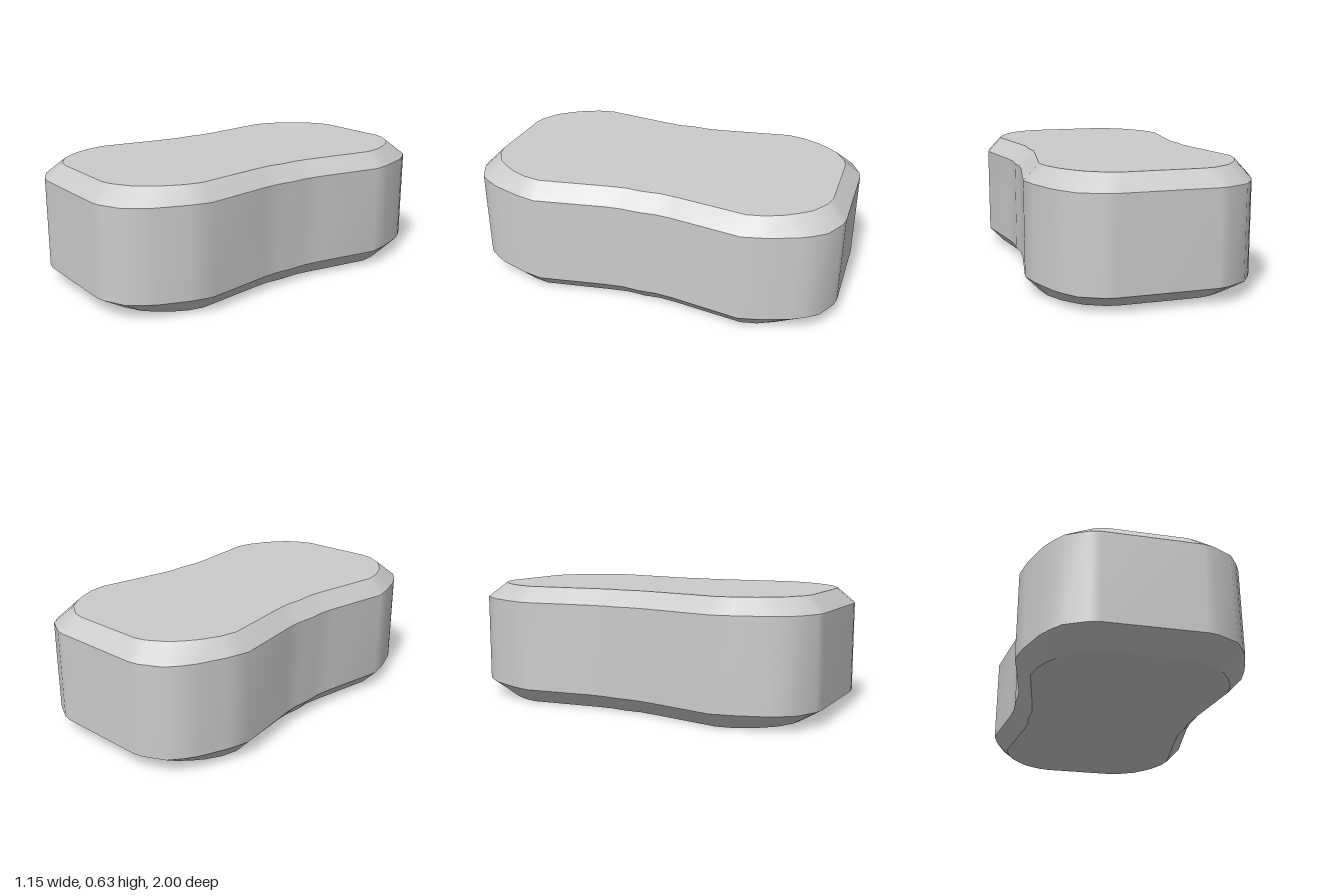
import * as THREE from 'three';

// One quarter of the outline, from the front edge round to the waist: [x, z]
const outerQuarter = [[0.25, 1], [0.30, 0.99], [0.41, 0.935], [0.46, 0.87], [0.495, 0.81], [0.55, 0.66],
  [0.575, 0.55], [0.515, 0.18], [0.507, 0.09], [0.513, 0]];
const topQuarter = [[0.20, 0.92], [0.26, 0.905], [0.35, 0.85], [0.40, 0.79], [0.44, 0.73], [0.48, 0.64],
  [0.497, 0.55], [0.44, 0.18], [0.43, 0.09], [0.437, 0]];
const bottomQuarter = topQuarter.map(([x, z]) => [x, z * (z > 0.55 ? 1 - 0.05 * (z - 0.55) / 0.37 : 1)]);

// Mirror a quarter into a closed loop, anticlockwise seen from above
function ring(quarter, y) {
  const back = quarter.slice(0, -1).reverse().map(([x, z]) => [x, -z]);
  const half = [...quarter, ...back];
  return [...half, ...half.map(([x, z]) => [-x, -z])].map(([x, z]) => [x, y, z]);
}

function build(points, index) {
  const geometry = new THREE.BufferGeometry();
  geometry.setAttribute('position', new THREE.Float32BufferAttribute(points.flat(), 3));
  geometry.setIndex(index);
  geometry.computeVertexNormals();
  return geometry;
}

// Smooth strip joining two loops
function band(low, high) {
  const n = low.length, index = [];
  for (let i = 0; i < n; i++) {
    const j = (i + 1) % n;
    index.push(i, j, n + j, i, n + j, n + i);
  }
  return build([...low, ...high], index);
}

// Flat face closing a loop
function cap(loop, up) {
  const n = loop.length, index = [];
  for (let i = 0; i < n; i++) {
    const j = (i + 1) % n;
    index.push(n, ...(up ? [i, j] : [j, i]));
  }
  return build([...loop, [0, loop[0][1], 0]], index);
}

export function createModel() {
  const model = new THREE.Group();
  model.name = 'waistedBlock';
  const material = new THREE.MeshStandardMaterial({ color: 0xcccccc });
  const add = (name, geometry) => {
    const mesh = new THREE.Mesh(geometry, material);
    mesh.name = name;
    model.add(mesh);
  };

  const base = ring(bottomQuarter, 0);
  const lower = ring(outerQuarter, 0.08);
  const upper = ring(outerQuarter, 0.555);
  const top = ring(topQuarter, 0.635);

  add('bottomFace', cap(base, false));
  add('bottomChamfer', band(base, lower));
  add('sideWall', band(lower, upper));
  add('topChamfer', band(upper, top));
  add('topFace', cap(top, true));
  return model;
}
